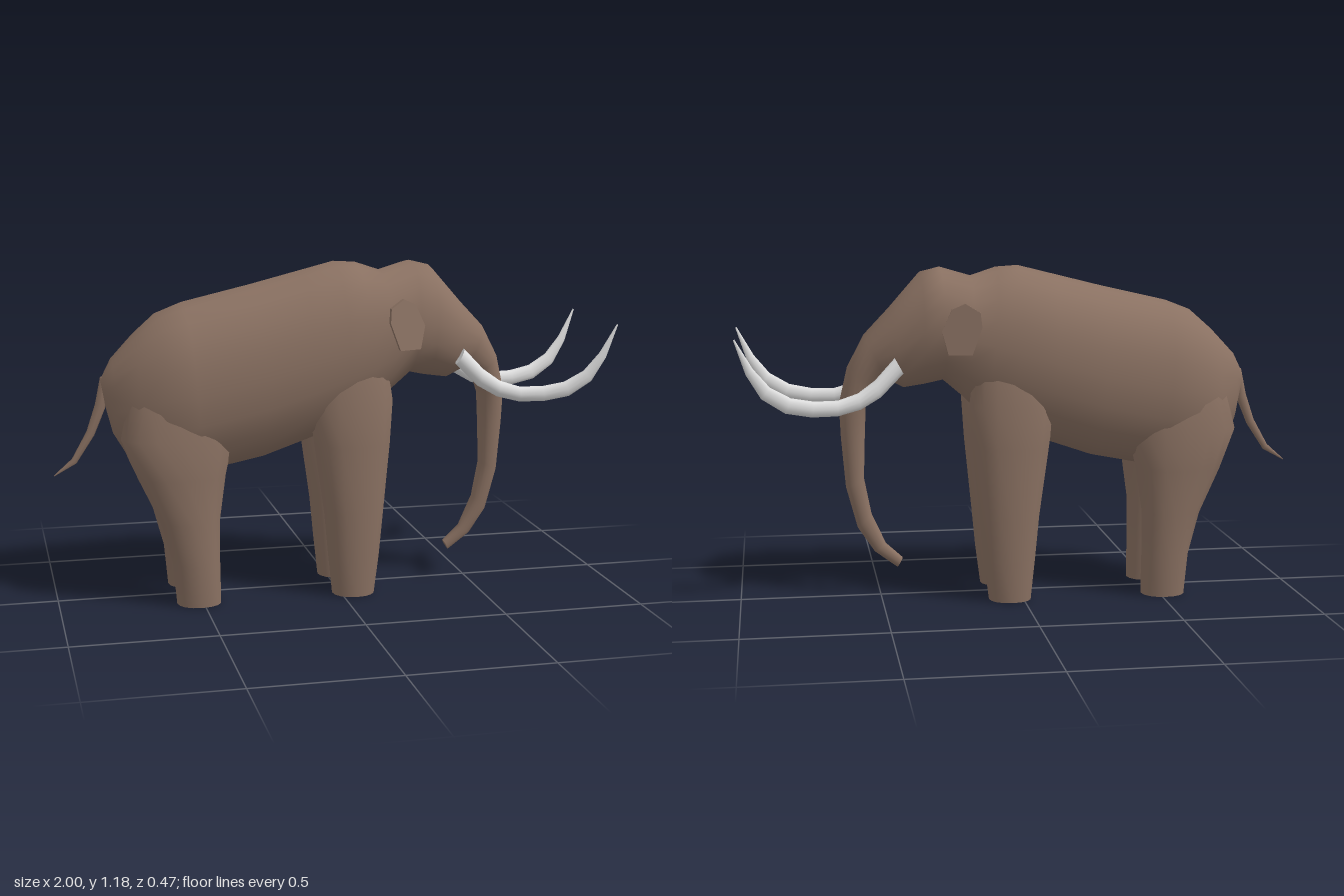
import * as THREE from 'three';

const hide = new THREE.MeshStandardMaterial({ color: 0x8a7162 });
hide.name = 'brown hide';
const ivory = new THREE.MeshStandardMaterial({ color: 0xdedede });
ivory.name = 'ivory';

// Skin through oval rings: [upper x, upper y, lower x, lower y, half width, centre z].
// squareness below 1 makes the ovals boxier. Both ends are closed with flat caps.
function loft(rings, sides = 16, squareness = 1) {
  const pos = [], index = [];
  const bend = (t) => Math.sign(t) * Math.abs(t) ** squareness;
  const addRing = ([ax, ay, bx, by, w, z = 0]) => {
    for (let i = 0; i < sides; i++) {
      const a = (i / sides) * Math.PI * 2;
      const c = bend(Math.cos(a)), s = bend(Math.sin(a));
      pos.push((ax + bx) / 2 + c * (ax - bx) / 2, (ay + by) / 2 + c * (ay - by) / 2, z + s * w);
    }
  };
  rings.forEach(addRing);
  for (let r = 0; r < rings.length - 1; r++) {
    for (let i = 0; i < sides; i++) {
      const a = r * sides + i, b = r * sides + (i + 1) % sides;
      index.push(a, b, a + sides, b, b + sides, a + sides);
    }
  }
  for (const [ring, isStart] of [[rings[0], true], [rings[rings.length - 1], false]]) {
    const first = pos.length / 3;
    addRing(ring);
    for (let i = 1; i < sides - 1; i++) {
      if (isStart) index.push(first, first + i + 1, first + i);
      else index.push(first, first + i, first + i + 1);
    }
  }
  const g = new THREE.BufferGeometry();
  g.setAttribute('position', new THREE.Float32BufferAttribute(pos, 3));
  g.setIndex(index);
  g.computeVertexNormals();
  return g;
}

// Leg rings from top to bottom: [height, back x, front x, inner z, outer z]
function leg(rows, side) {
  return loft(rows.map(([y, x0, x1, z0, z1]) =>
    [x1, y, x0, y, (z1 - z0) / 2, side * (z0 + z1) / 2]), 16, 0.92);
}

// Small ear, flaring away from the head towards its rear and lower edge
function ear(side) {
  const outline = [[0.27, 0.89], [0.29, 0.97], [0.255, 1.045], [0.21, 1.065],
    [0.16, 1.035], [0.155, 0.985], [0.19, 0.89]];
  const shape = new THREE.Shape(outline.map(([x, y]) => new THREE.Vector2(x, y)));
  const g = new THREE.ExtrudeGeometry(shape, { depth: 0.022, bevelEnabled: false });
  const p = g.attributes.position;
  for (let i = 0; i < p.count; i++) {
    const out = 0.162 + 0.32 * (0.28 - p.getX(i)) + 0.16 * (1.06 - p.getY(i));
    p.setZ(i, p.getZ(i) - 0.011 + side * out);
  }
  g.computeVertexNormals();
  return g;
}

export function createModel() {
  const model = new THREE.Group();
  model.name = 'mammoth';
  const add = (name, geometry, material = hide) => {
    const mesh = new THREE.Mesh(geometry, material);
    mesh.name = name;
    model.add(mesh);
  };

  // Rump, back, shoulder hump, domed head and trunk in one skin
  add('bodyHeadAndTrunk', loft([
    [-0.83, 0.79, -0.815, 0.70, 0.03],
    [-0.79, 0.865, -0.79, 0.60, 0.095],
    [-0.71, 0.95, -0.72, 0.48, 0.165],
    [-0.63, 1.02, -0.62, 0.46, 0.21],
    [-0.54, 1.055, -0.50, 0.45, 0.235],
    [-0.30, 1.11, -0.27, 0.495, 0.235],
    [-0.12, 1.155, -0.11, 0.55, 0.235],
    [0.00, 1.185, 0.03, 0.60, 0.222],
    [0.08, 1.18, 0.13, 0.65, 0.21],
    [0.17, 1.15, 0.20, 0.72, 0.195],
    [0.28, 1.182, 0.27, 0.78, 0.185],
    [0.35, 1.165, 0.34, 0.765, 0.17],
    [0.46, 1.04, 0.41, 0.755, 0.137],
    [0.55, 0.945, 0.47, 0.785, 0.098],
    [0.61, 0.83, 0.52, 0.765, 0.075],
    [0.64, 0.70, 0.545, 0.69, 0.058],
    [0.635, 0.58, 0.55, 0.58, 0.047],
    [0.62, 0.40, 0.555, 0.43, 0.038],
    [0.58, 0.25, 0.53, 0.30, 0.03],
    [0.52, 0.16, 0.48, 0.19, 0.022],
    [0.44, 0.10, 0.42, 0.135, 0.017],
  ], 20, 0.92));

  // Thin tail curving out behind
  add('tail', loft([
    [-0.80, 0.80, -0.83, 0.80, 0.014],
    [-0.815, 0.69, -0.85, 0.705, 0.013],
    [-0.855, 0.595, -0.882, 0.61, 0.011],
    [-0.92, 0.497, -0.935, 0.515, 0.008],
    [-0.999, 0.454, -1.0, 0.457, 0.001],
  ].map(([ax, ay, bx, by, w]) => [ax, ay, bx, by, w]), 8));

  for (const side of [1, -1]) {
    const name = side > 0 ? 'Near' : 'Far';

    add('frontLeg' + name, leg([
      [0.85, -0.08, 0.17, 0.04, 0.19],
      [0.70, -0.115, 0.19, 0.03, 0.218],
      [0.55, -0.095, 0.18, 0.03, 0.217],
      [0.30, -0.06, 0.155, 0.04, 0.21],
      [0.14, -0.045, 0.14, 0.045, 0.203],
      [0, -0.03, 0.122, 0.05, 0.195],
    ], side));

    add('hindLeg' + name, leg([
      [0.76, -0.74, -0.38, 0.02, 0.19],
      [0.60, -0.775, -0.38, 0.015, 0.222],
      [0.46, -0.72, -0.412, 0.025, 0.217],
      [0.30, -0.645, -0.435, 0.038, 0.21],
      [0.15, -0.605, -0.437, 0.045, 0.205],
      [0, -0.592, -0.435, 0.05, 0.195],
    ], side));

    add('ear' + name, ear(side));

    // Tusk sweeping forward, up and slightly outward
    add('tusk' + name, loft([
      [0.45, 0.875, 0.42, 0.82, 0.024],
      [0.52, 0.80, 0.50, 0.74, 0.025],
      [0.58, 0.757, 0.57, 0.70, 0.024],
      [0.65, 0.735, 0.65, 0.68, 0.022],
      [0.73, 0.735, 0.74, 0.68, 0.02],
      [0.81, 0.75, 0.83, 0.697, 0.017],
      [0.88, 0.79, 0.91, 0.75, 0.013],
      [0.935, 0.855, 0.96, 0.835, 0.009],
      [0.994, 0.957, 0.999, 0.955, 0.002],
    ].map((r) => [...r, side * (0.128 + 0.155 * (r[0] - 0.43))]), 12), ivory);
  }
  return model;
}
